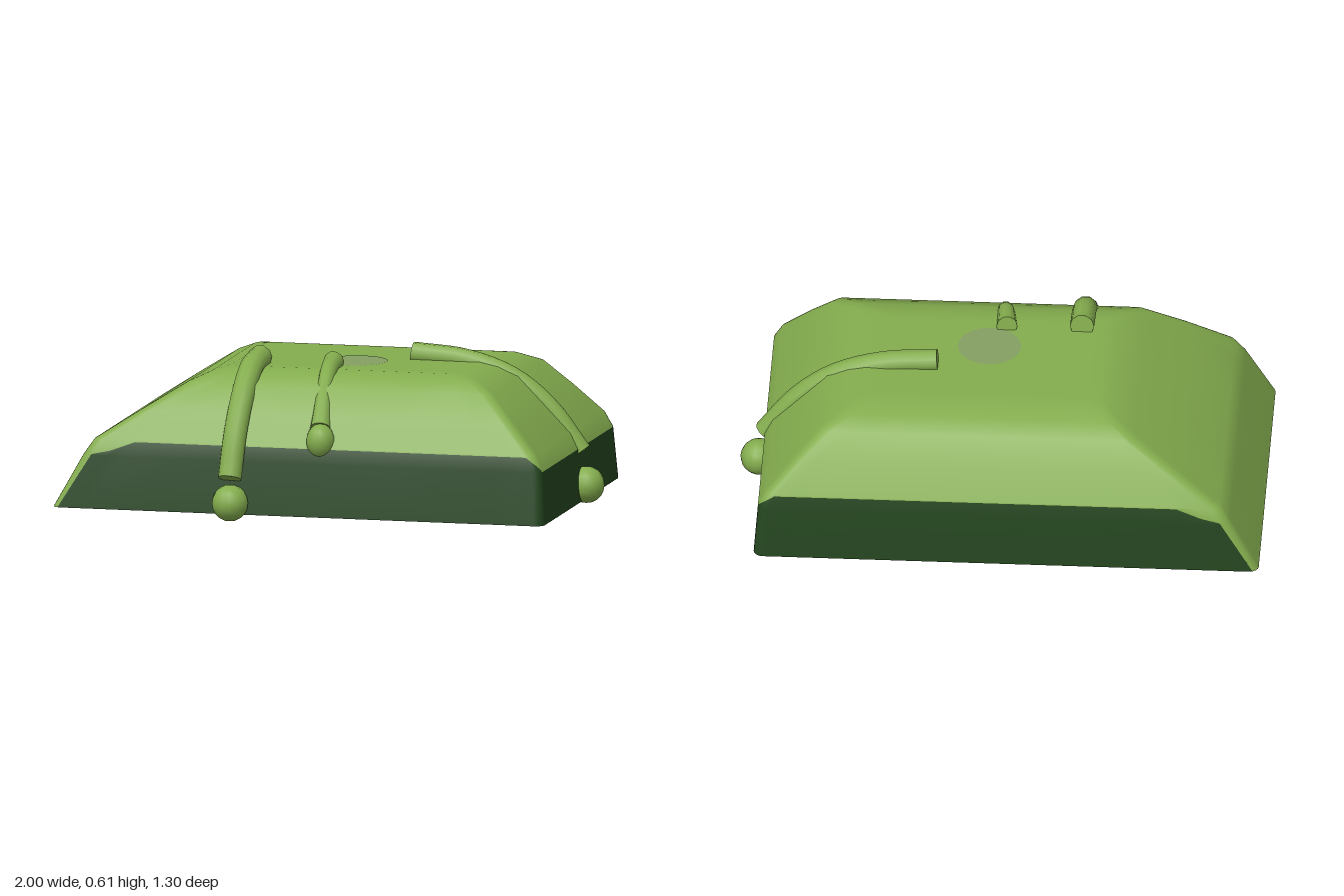
import * as THREE from 'three';

const lerp = THREE.MathUtils.lerp;
const SLIME = new THREE.MeshStandardMaterial({ color: 0x84ad4e });
const DARK = new THREE.MeshStandardMaterial({ color: 0x24451f });
const PATCH = new THREE.MeshStandardMaterial({ color: 0x84a062 });

// Body profile by height: y, left x, right x, back z, front z
const PROFILE = [
  [0.03, -1, 0.92, -0.65, 0.57],
  [0.23, -0.89, 0.905, -0.63, 0.545],
  [0.29, -0.85, 0.875, -0.615, 0.525],
  [0.40, -0.68, 0.77, -0.55, 0.465],
  [0.50, -0.52, 0.67, -0.48, 0.40],
  [0.535, -0.44, 0.59, -0.41, 0.32],
  [0.55, -0.38, 0.52, -0.32, 0.25],
];
const CORNER = 0.035;

function extents(y) {
  let i = 0;
  while (i < PROFILE.length - 2 && y > PROFILE[i + 1][0]) i++;
  const a = PROFILE[i], b = PROFILE[i + 1];
  const t = (y - a[0]) / (b[0] - a[0]);
  return a.map((v, k) => lerp(v, b[k], t));
}

// Columns around the body: position on the rectangle, corner normal, seam height
function makeColumns() {
  const corners = [[0, 1], [1, 1], [1, 0], [0, 0]];
  const fractions = [0, 0.035, 0.08, 0.3, 0.5, 0.7, 0.92, 0.965, 1];
  const high = 0.285, low = 0.23, ground = 0.03;
  const taper = (s) => (s < 0.02 ? 0.235 : s < 0.05 ? 0.25 : high);
  const sideSeam = [taper, () => low, (s) => taper(1 - s), () => ground];
  const columns = [];
  for (let k = 0; k < 4; k++) {
    const a = corners[k], b = corners[(k + 1) % 4], angle = k * Math.PI / 2;
    for (const s of fractions) {
      columns.push({ fx: lerp(a[0], b[0], s), fz: lerp(a[1], b[1], s), angle, seam: sideSeam[k](s) });
    }
    for (let j = 1; j < 4; j++) {
      const seam = [lerp(high, low, j / 4), lerp(low, high, j / 4), ground, ground][k];
      columns.push({ fx: b[0], fz: b[1], angle: angle + j * Math.PI / 8, seam });
    }
  }
  return columns;
}
const COLUMNS = makeColumns();

function bodyPoint(c, y) {
  const [, x0, x1, z0, z1] = extents(y);
  return [
    lerp(x0 + CORNER, x1 - CORNER, c.fx) + CORNER * Math.sin(c.angle), y,
    lerp(z0 + CORNER, z1 - CORNER, c.fz) + CORNER * Math.cos(c.angle),
  ];
}

// Joins rows of points (bottom to top) into a closed band
function loft(rows) {
  const n = COLUMNS.length, index = [];
  for (let r = 0; r < rows.length - 1; r++) {
    for (let i = 0; i < n; i++) {
      const a = r * n + i, b = r * n + (i + 1) % n;
      index.push(a, b, b + n, a, b + n, a + n);
    }
  }
  const g = new THREE.BufferGeometry();
  g.setAttribute('position', new THREE.Float32BufferAttribute(rows.flat(2), 3));
  g.setIndex(index);
  g.computeVertexNormals();
  return g;
}

// Shrinks a row towards its middle
function shrink(row, f, cx, cz) {
  return row.map(([x, y, z]) => [lerp(cx, x, f), y, lerp(cz, z, f)]);
}

function add(parent, name, geometry, material) {
  const mesh = new THREE.Mesh(geometry, material);
  mesh.name = name;
  parent.add(mesh);
  return mesh;
}

// Tapered drip running over the edge, with closed ends and a drop below
function makeDrip(name, points, radius, drop, dropRadius, dropStretch = 1) {
  const group = new THREE.Group();
  group.name = name;
  const path = new THREE.CatmullRomCurve3(points.map((p) => new THREE.Vector3(...p)));
  const steps = 18, sides = 10;
  const tube = new THREE.TubeGeometry(path, steps, 1, sides);
  const pos = tube.attributes.position, v = new THREE.Vector3();
  for (let i = 0; i < pos.count; i++) {
    const t = Math.floor(i / (sides + 1)) / steps;
    const centre = path.getPointAt(t);
    v.fromBufferAttribute(pos, i).sub(centre).multiplyScalar(radius(t)).add(centre);
    pos.setXYZ(i, v.x, v.y, v.z);
  }
  add(group, 'dripStrand', tube, SLIME);
  for (const t of [0, 1]) {
    const end = add(group, 'dripEnd', new THREE.CircleGeometry(radius(t), sides), SLIME);
    const p = path.getPointAt(t);
    end.position.copy(p);
    end.lookAt(p.add(path.getTangentAt(t).multiplyScalar(t ? 1 : -1)));
  }
  const ball = add(group, 'drop', new THREE.SphereGeometry(dropRadius, 14, 10), SLIME);
  ball.position.set(...drop);
  ball.scale.y = dropStretch;
  return group;
}

export function createModel() {
  const model = new THREE.Group();
  model.name = 'slimeMound';

  // Dark base below the seam
  const lower = PROFILE.slice(0, 3).map(([y]) => COLUMNS.map((c) => bodyPoint(c, Math.min(y, c.seam))));
  add(model, 'darkBase', loft(lower), DARK);
  add(model, 'underside', loft([shrink(lower[0], 0, -0.04, -0.04), lower[0]]), DARK);

  // Green cover above the seam, closed over the top
  const upper = PROFILE.map(([y]) => COLUMNS.map((c) => bodyPoint(c, Math.max(y, c.seam))));
  const rim = upper[upper.length - 1];
  for (const f of [0.8, 0.4, 0]) upper.push(shrink(rim, f, 0.07, -0.035));
  add(model, 'slimeCover', loft(upper), SLIME);

  // Faint pale patch on top
  const patch = add(model, 'palePatch', new THREE.CircleGeometry(0.12, 24), PATCH);
  patch.rotation.x = -Math.PI / 2;
  patch.position.set(0.06, 0.552, 0.04);

  // Drips over the front and the left side
  model.add(makeDrip('frontLongDrip',
    [[-0.285, 0.573, 0.16], [-0.287, 0.545, 0.31], [-0.29, 0.46, 0.425], [-0.295, 0.33, 0.52], [-0.3, 0.17, 0.585]],
    () => 0.046, [-0.3, 0.075, 0.58], 0.07));
  model.add(makeDrip('frontShortDrip',
    [[0, 0.565, 0.155], [0.01, 0.54, 0.29], [0.02, 0.47, 0.39], [0.03, 0.36, 0.485]],
    (t) => 0.031 + 0.036 * (t - 0.5) ** 2, [0.035, 0.315, 0.505], 0.055, 1.2));
  model.add(makeDrip('sideDrip',
    [[0.25, 0.568, -0.085], [0.46, 0.548, -0.085], [0.64, 0.485, -0.085], [0.78, 0.375, -0.085], [0.905, 0.212, -0.085]],
    () => 0.044, [0.93, 0.09, -0.08], 0.07));

  return model;
}
